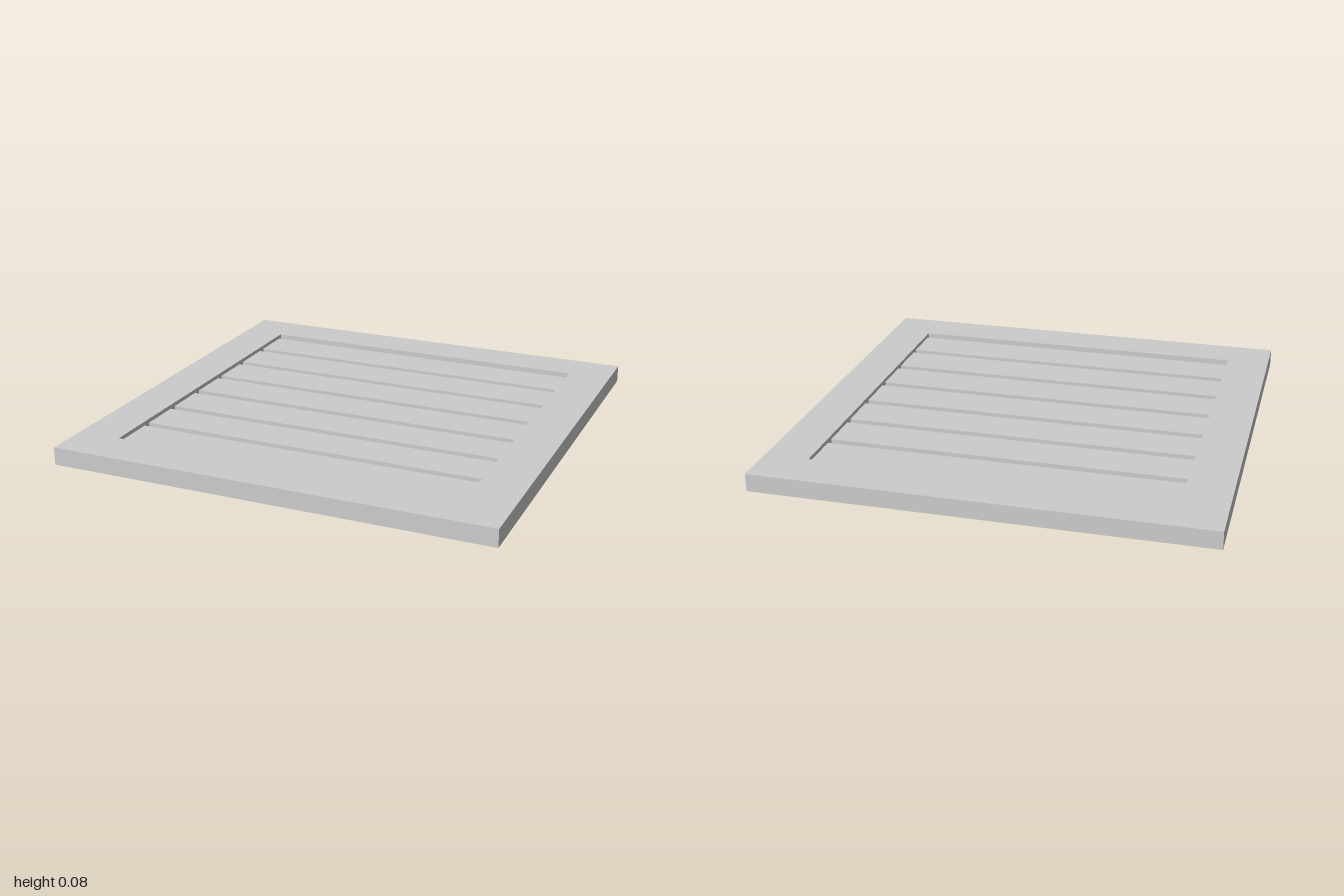
import * as THREE from 'three';

const material = new THREE.MeshStandardMaterial({ color: 0xcccccc, side: THREE.DoubleSide, flatShading: true });

const HEIGHT = 0.08, OUTER = 2, OPENING = 1.6;
const SLATS = 7, SLAT_WIDTH = 0.19, SLAT_PITCH = 0.2285, SLAT_HEIGHT = 0.062;

// Thin-walled box standing on y = 0, open below and optionally above
function shell(name, width, height, depth, hasTop) {
  const geometry = new THREE.BoxGeometry(width, height, depth).translate(0, height / 2, 0);
  // Six indices per side, in the order +x, -x, +y, -y, +z, -z
  const index = Array.from(geometry.index.array);
  const kept = index.filter((_, i) => {
    const side = Math.floor(i / 6);
    return side !== 3 && (hasTop || side !== 2);
  });
  geometry.setIndex(kept);
  geometry.clearGroups();
  const mesh = new THREE.Mesh(geometry, material);
  mesh.name = name;
  return mesh;
}

function square(path, size) {
  const h = size / 2;
  path.moveTo(-h, -h).lineTo(h, -h).lineTo(h, h).lineTo(-h, h).closePath();
  return path;
}

export function createModel() {
  const model = new THREE.Group();
  model.name = 'ventGrille';

  // Frame: flat top with a square opening, plus outer and inner skirts
  const frame = new THREE.Group();
  frame.name = 'frame';
  const outline = square(new THREE.Shape(), OUTER);
  outline.holes.push(square(new THREE.Path(), OPENING));
  const face = new THREE.Mesh(new THREE.ShapeGeometry(outline).rotateX(-Math.PI / 2), material);
  face.name = 'frameTop';
  face.position.y = HEIGHT;
  frame.add(
    face,
    shell('outerSkirt', OUTER, HEIGHT, OUTER, false),
    shell('innerSkirt', OPENING, HEIGHT, OPENING, false)
  );
  model.add(frame);

  // Slats: hollow bars set slightly below the frame top
  const slats = new THREE.Group();
  slats.name = 'slats';
  for (let i = 0; i < SLATS; i++) {
    const slat = shell('slat', OPENING, SLAT_HEIGHT, SLAT_WIDTH, true);
    slat.position.z = (i - (SLATS - 1) / 2) * SLAT_PITCH;
    slats.add(slat);
  }
  model.add(slats);

  return model;
}
